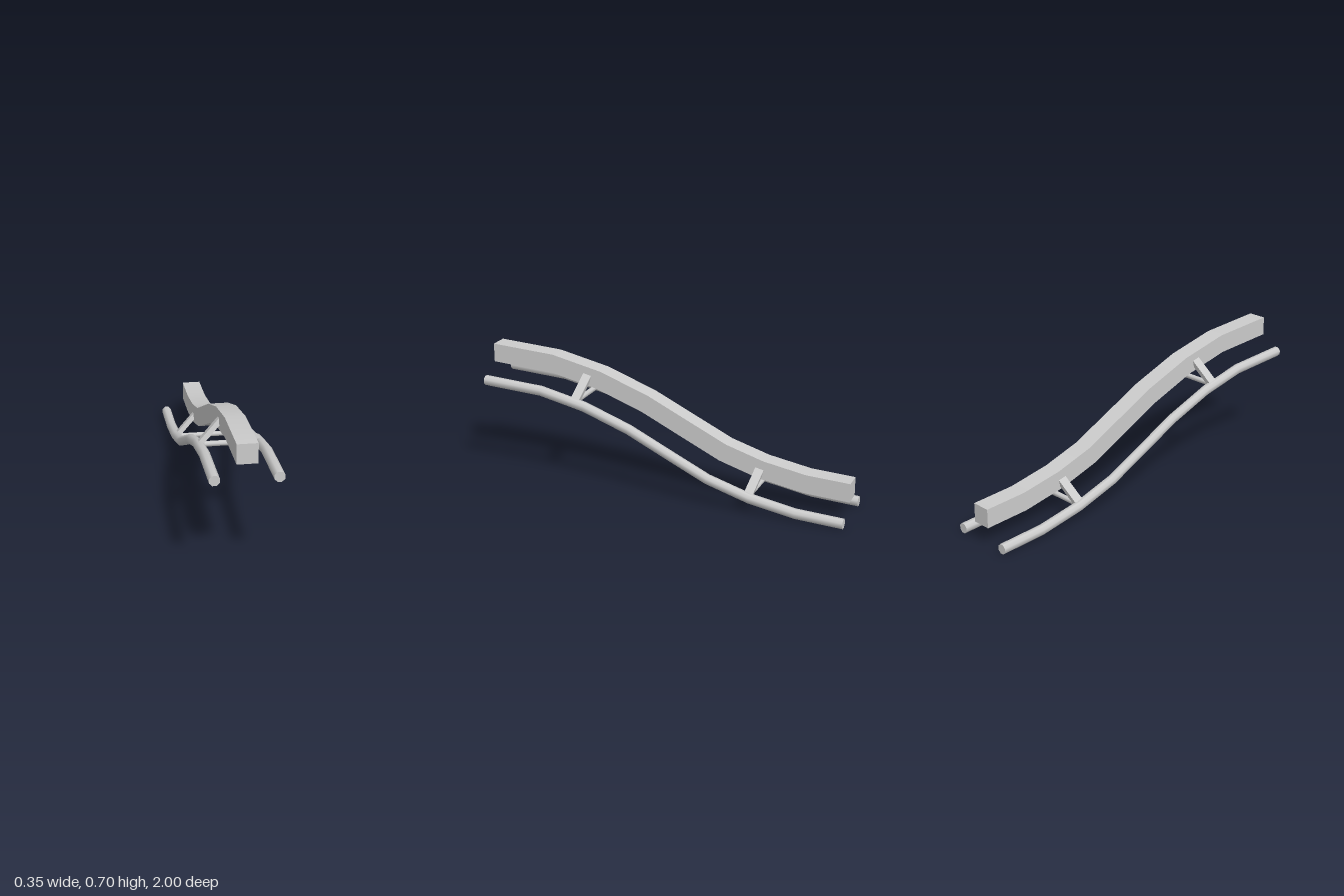
import * as THREE from 'three';

const material = new THREE.MeshStandardMaterial({ color: 0xcccccc });

// Centre line of the spine beam as [z, y], from the high front to the low back
const path = [
  [1, 0.65], [0.654, 0.63], [0.384, 0.571], [0.1175, 0.475], [-0.1, 0.371],
  [-0.319, 0.267], [-0.53, 0.203], [-0.763, 0.162], [-1, 0.15],
];

// Slope angle at every station; both ends run level
const angles = path.map((p, i) => {
  if (i === 0 || i === path.length - 1) return 0;
  const a = path[i - 1], b = path[i + 1];
  return Math.atan2(a[1] - b[1], a[0] - b[0]);
});

// Place a cross-section point (x, up) at station i
function place(i, x, up) {
  const [z, y] = path[i], a = angles[i];
  return [x, y + up * Math.cos(a), z - up * Math.sin(a)];
}

// Sweep a convex counter-clockwise section along the path, with flat end caps
function sweep(section, cx, cy, smooth) {
  const pos = [], nor = [], idx = [];
  const n = section.length, last = path.length - 1;
  const sides = section.map((p, k) => [p, section[(k + 1) % n]]);
  for (const [p, q] of sides) {
    const start = pos.length / 3;
    const flat = new THREE.Vector2(q[1] - p[1], p[0] - q[0]).normalize();
    for (let i = 0; i <= last; i++) {
      for (const v of [p, q]) {
        const m = smooth ? new THREE.Vector2(v[0], v[1]).normalize() : flat;
        pos.push(...place(i, cx + v[0], cy + v[1]));
        nor.push(m.x, m.y * Math.cos(angles[i]), -m.y * Math.sin(angles[i]));
      }
      if (i < last) {
        const a = start + i * 2;
        idx.push(a, a + 2, a + 1, a + 1, a + 2, a + 3);
      }
    }
  }
  for (const [i, dir] of [[0, 1], [last, -1]]) {
    const start = pos.length / 3;
    for (const v of section) {
      pos.push(...place(i, cx + v[0], cy + v[1]));
      nor.push(0, 0, dir);
    }
    for (let k = 1; k < n - 1; k++) {
      if (dir > 0) idx.push(start, start + k, start + k + 1);
      else idx.push(start, start + k + 1, start + k);
    }
  }
  const geo = new THREE.BufferGeometry();
  geo.setAttribute('position', new THREE.Float32BufferAttribute(pos, 3));
  geo.setAttribute('normal', new THREE.Float32BufferAttribute(nor, 3));
  geo.setIndex(idx);
  return geo;
}

function addMesh(parent, name, geometry) {
  const mesh = new THREE.Mesh(geometry, material);
  mesh.name = name;
  parent.add(mesh);
  return mesh;
}

// Cross tie: a round bar between the rails and two slanted struts up to the beam
function makeTie(name, y, z, slope) {
  const tie = new THREE.Group();
  tie.name = name;
  tie.position.set(0, y, z);
  tie.rotation.x = -slope;
  const bar = addMesh(tie, 'crossBar', new THREE.CylinderGeometry(0.014, 0.014, 0.29, 8));
  bar.rotation.z = Math.PI / 2;
  const dx = -0.11, dy = 0.117;
  for (const side of [1, -1]) {
    const strut = addMesh(tie, side > 0 ? 'leftStrut' : 'rightStrut',
      new THREE.BoxGeometry(Math.hypot(dx, dy), 0.026, 0.046));
    strut.position.set(side * (0.15 + dx / 2), 0.003 + dy / 2, 0);
    strut.rotation.z = Math.atan2(dy, side * dx);
  }
  return tie;
}

export function createModel() {
  const model = new THREE.Group();
  model.name = 'curvedTrack';

  // Square spine beam
  const square = [[-0.05, -0.05], [0.05, -0.05], [0.05, 0.05], [-0.05, 0.05]];
  addMesh(model, 'spineBeam', sweep(square, 0, 0, false));

  // Octagonal rails hung below the beam, flat side down
  const r = 0.025 / Math.cos(Math.PI / 8);
  const octagon = Array.from({ length: 8 }, (_, k) => {
    const a = (k + 0.5) * Math.PI / 4;
    return [r * Math.cos(a), r * Math.sin(a)];
  });
  for (const side of [1, -1]) {
    addMesh(model, side > 0 ? 'leftRail' : 'rightRail', sweep(octagon, side * 0.15, -0.125, true));
  }

  // Two ties joining rails and beam
  model.add(makeTie('frontTie', 0.469, 0.474, 0.22));
  model.add(makeTie('rearTie', 0.083, -0.492, 0.23));
  return model;
}
